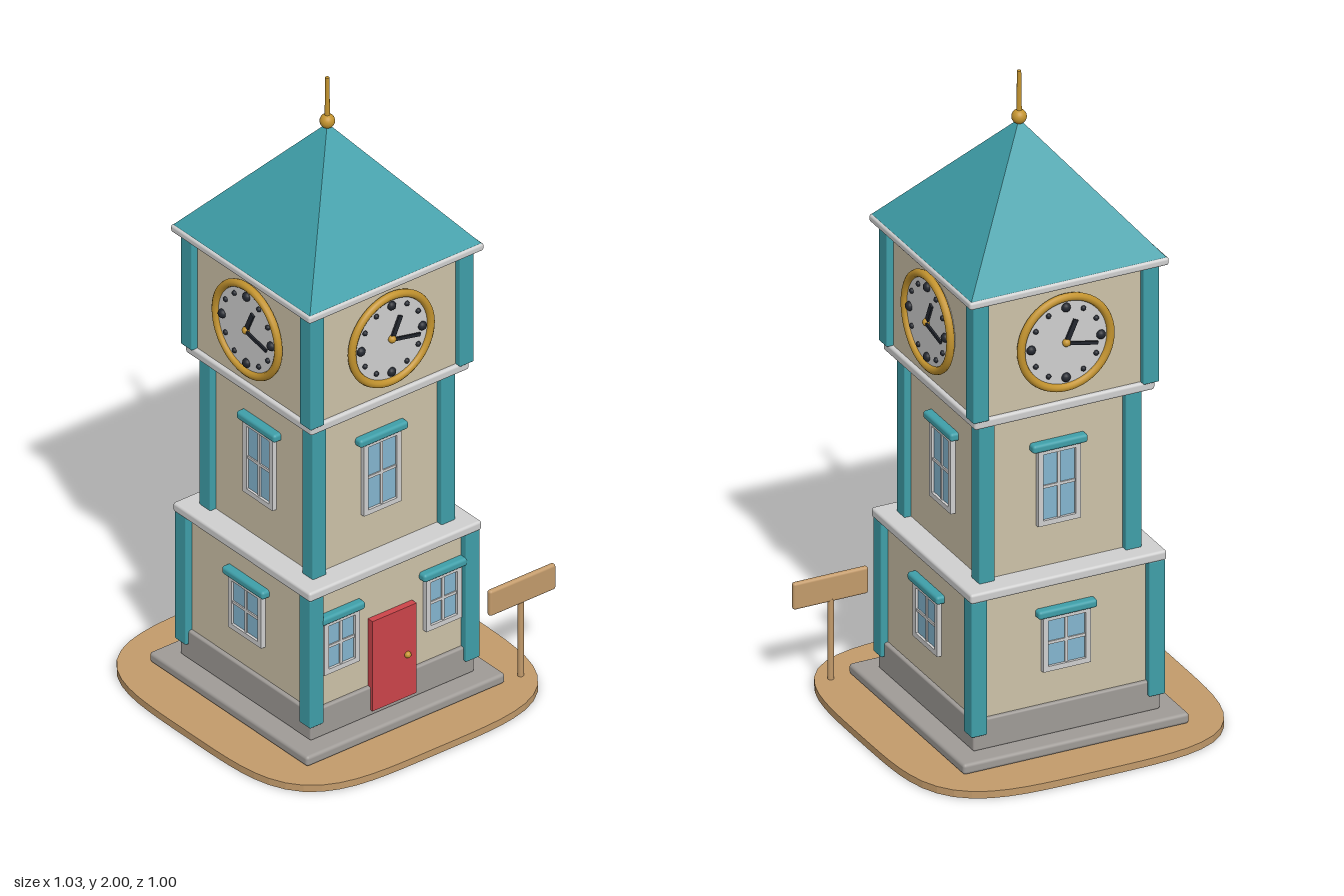
import * as THREE from 'three';
import { RoundedBoxGeometry } from 'three/addons/geometries/RoundedBoxGeometry.js';

const mat = (name, color) => Object.assign(new THREE.MeshStandardMaterial({ color }), { name });
const wall = mat('cream wall', 0xcdc2a8);
const teal = mat('teal trim', 0x3f9fa9);
const pale = mat('pale grey', 0xd0d0d0);
const stone = mat('stone grey', 0x9f9b97);
const tan = mat('tan', 0xc39b6b);
const red = mat('door red', 0xcc444a);
const gold = mat('gold', 0xc4942f);
const glass = mat('window glass', 0x84b6d0);
const dark = mat('dark', 0x22262e);

const add = (parent, name, geo, material, x = 0, y = 0, z = 0) => {
  const mesh = new THREE.Mesh(geo, material);
  mesh.name = name;
  mesh.position.set(x, y, z);
  parent.add(mesh);
  return mesh;
};
const group = (parent, name) => {
  const g = new THREE.Group();
  g.name = name;
  parent.add(g);
  return g;
};
const box = (w, h, d) => new THREE.BoxGeometry(w, h, d);
const rbox = (w, h, d, r) => new RoundedBoxGeometry(w, h, d, 3, r);

// square slab spanning y0..y1
const slab = (parent, name, half, y0, y1, material, round = 0) => {
  const h = y1 - y0;
  const geo = round ? rbox(half * 2, h, half * 2, round) : box(half * 2, h, half * 2);
  return add(parent, name, geo, material, 0, (y0 + y1) / 2, 0);
};

// four corner posts whose outer faces lie at +-outer
function cornerPosts(parent, outer, y0, y1) {
  const c = outer - 0.025;
  for (const sx of [-1, 1]) for (const sz of [-1, 1])
    add(parent, 'cornerPost', rbox(0.05, y1 - y0, 0.05, 0.004), teal, sx * c, (y0 + y1) / 2, sz * c);
}

// framed window with glazing bars and a hood, on a wall at depth z
function makeWindow(parent, x, y0, y1, w, hoodW, z) {
  const g = group(parent, 'window');
  const h = y1 - y0, f = 0.016;
  g.position.set(x, (y0 + y1) / 2, z);
  for (const s of [-1, 1]) {
    add(g, 'frameSide', box(f, h, 0.024), pale, s * (w - f) / 2, 0, 0.003);
    add(g, 'frameRail', box(w - 2 * f, f, 0.024), pale, 0, s * (h - f) / 2, 0.003);
  }
  add(g, 'glass', box(w - 2 * f, h - 2 * f, 0.008), glass, 0, 0, 0.003);
  add(g, 'glazingBar', box(0.009, h - 2 * f, 0.012), pale, 0, 0, 0.005);
  add(g, 'glazingBar', box(w - 2 * f, 0.009, 0.012), pale, 0, 0, 0.005);
  add(g, 'hood', rbox(hoodW, 0.026, 0.034, 0.009), teal, 0, h / 2 + 0.009, 0.008);
}

// clock face with rim, hour marks and hands
function makeClock(parent, y, z) {
  const g = group(parent, 'clock');
  g.position.set(0, y, z);
  add(g, 'dial', new THREE.CylinderGeometry(0.138, 0.138, 0.016, 48).rotateX(Math.PI / 2), pale, 0, 0, 0.004);
  add(g, 'rim', new THREE.TorusGeometry(0.141, 0.012, 10, 56), gold, 0, 0, 0.012);
  for (let i = 0; i < 12; i++) {
    const a = i * Math.PI / 6, r = i % 3 ? 0.008 : 0.014;
    const dot = add(g, 'hourMark', new THREE.SphereGeometry(r, 14, 10), dark,
      Math.sin(a) * 0.11, Math.cos(a) * 0.11, 0.013);
    if (i % 3 === 0) dot.scale.z = 0.9;
  }
  const hand = (name, dx, dy, w, zz) => {
    const len = Math.hypot(dx, dy);
    const m = add(g, name, box(w, len, 0.006), dark, dx / 2, dy / 2, zz);
    m.rotation.z = Math.atan2(-dx, dy);
  };
  hand('hourHand', 0.03, 0.066, 0.015, 0.016);
  hand('minuteHand', 0.097, -0.02, 0.01, 0.02);
  add(g, 'hub', new THREE.SphereGeometry(0.012, 16, 10), gold, 0, 0, 0.016);
}

export function createModel() {
  const model = new THREE.Group();
  model.name = 'clockTower';
  const tower = group(model, 'tower');
  tower.position.x = -0.02;

  // soft-cornered ground plate
  const pts = [];
  for (let i = 0; i < 72; i++) {
    const a = i / 72 * Math.PI * 2, c = Math.cos(a), s = Math.sin(a);
    const r = 0.5 / Math.pow(c ** 4 + s ** 4, 0.25);
    pts.push(new THREE.Vector2(c * r, s * r));
  }
  const plate = new THREE.ExtrudeGeometry(new THREE.Shape(pts), { depth: 0.022, bevelEnabled: false });
  add(tower, 'ground', plate.rotateX(-Math.PI / 2), tan);

  // stone base
  slab(tower, 'baseStep', 0.356, 0.022, 0.055, stone, 0.01);
  slab(tower, 'plinth', 0.294, 0.055, 0.15, stone, 0.006);

  // three storeys with ledges
  slab(tower, 'lowerWall', 0.282, 0.15, 0.53, wall);
  cornerPosts(tower, 0.305, 0.105, 0.528);
  slab(tower, 'lowerLedge', 0.309, 0.527, 0.557, pale, 0.008);
  slab(tower, 'middleWall', 0.235, 0.55, 1.065, wall);
  cornerPosts(tower, 0.256, 0.555, 1.062);
  slab(tower, 'middleLedge', 0.284, 1.058, 1.087, pale, 0.008);
  slab(tower, 'clockWall', 0.272, 1.08, 1.465, wall);
  cornerPosts(tower, 0.293, 1.085, 1.46);
  slab(tower, 'eaves', 0.314, 1.456, 1.48, pale, 0.008);

  // pyramid roof and finial
  const roofGeo = new THREE.ConeGeometry(0.309 * Math.SQRT2, 0.37, 4).rotateY(Math.PI / 4).toNonIndexed();
  roofGeo.computeVertexNormals();
  add(tower, 'roof', roofGeo, teal, 0, 1.663, 0);
  add(tower, 'finialBall', new THREE.SphereGeometry(0.022, 24, 16), gold, 0, 1.856, 0);
  add(tower, 'finialSpike', new THREE.CylinderGeometry(0.006, 0.008, 0.15, 12), gold, 0, 1.925, 0);

  // the four sides; the first is the front
  for (let i = 0; i < 4; i++) {
    const side = group(tower, 'facade');
    side.rotation.y = i * Math.PI / 2;
    makeClock(side, 1.275, 0.276);
    makeWindow(side, 0, 0.69, 0.93, 0.134, 0.174, 0.235);
    if (i > 0) {
      makeWindow(side, 0, 0.255, 0.43, 0.15, 0.186, 0.282);
      continue;
    }
    for (const s of [-1, 1]) makeWindow(side, s * 0.183, 0.255, 0.43, 0.127, 0.156, 0.282);
    add(side, 'door', box(0.158, 0.298, 0.026), red, 0, 0.223, 0.29);
    add(side, 'doorKnob', new THREE.SphereGeometry(0.01, 16, 12), gold, 0.045, 0.215, 0.306);
  }

  // signpost beside the entrance
  const sign = group(model, 'signpost');
  add(sign, 'signPole', new THREE.CylinderGeometry(0.009, 0.009, 0.26, 14), tan, 0.395, 0.145, 0.35);
  add(sign, 'signBoard', rbox(0.237, 0.084, 0.018, 0.008), tan, 0.396, 0.308, 0.352);

  return model;
}
